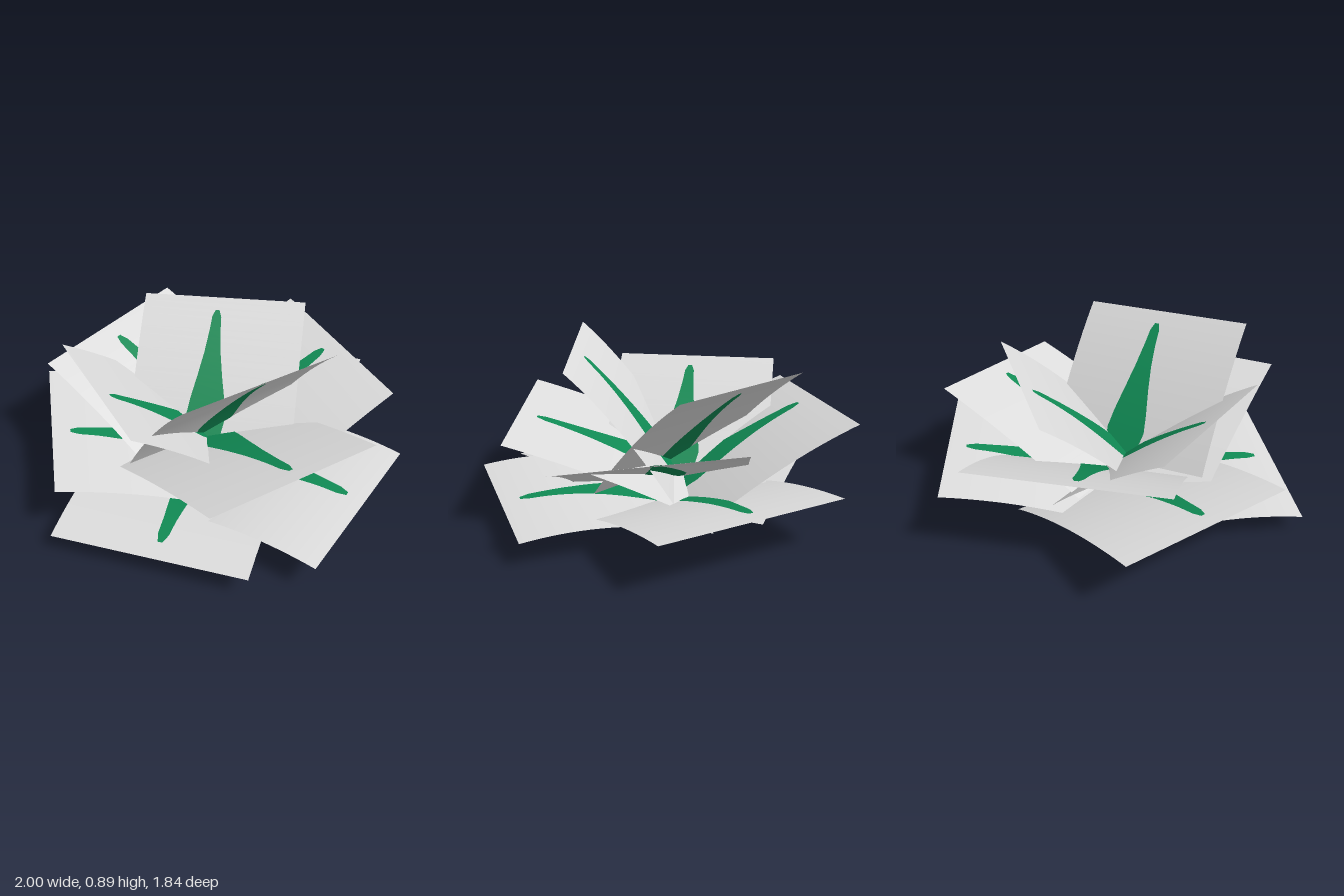
import * as THREE from 'three';

const ROWS = 20;

// Each square card: outer corners, horizontal reach, heights of the inner corners, upward arch
const CARDS = [
  { L: [-0.40, 0.27, -0.92], R: [0.60, 0.27, -0.92], reach: 0.96, base: [0.02, 0.02], arch: 0.04 },
  { L: [0.57, 0.12, 0.81], R: [-0.43, 0.095, 0.92], reach: 0.97, base: [0.04, 0.03], arch: 0.06 },
  { L: [1.00, 0.13, -0.34], R: [0.84, 0.155, 0.65], reach: 0.96, base: [0.02, 0.04], arch: 0.06 },
  { L: [-0.45, 0.287, 0.81], R: [-1.00, 0.31, -0.02], reach: 0.95, base: [0.0, 0.03], arch: 0.04 },
  { L: [0.14, 0.58, -0.92], R: [0.90, 0.46, -0.41], reach: 0.84, base: [0.18, 0.08], arch: 0.02 },
  { L: [0.93, 0.47, 0.05], R: [0.41, 0.53, 0.89], reach: 0.92, base: [0.12, 0.18], arch: 0.02 },
  { L: [-0.84, 0.55, 0.20], R: [-0.60, 0.56, -0.77], reach: 0.86, base: [0.06, 0.07], arch: 0.04 },
  { L: [-0.06, 0.67, 0.71], R: [-0.76, 0.67, 0.16], reach: 0.66, base: [0.12, 0.16], arch: 0.03 },
  { L: [-0.54, 0.74, -0.39], R: [0.32, 0.76, -0.62], reach: 0.62, base: [0.15, 0.15], arch: 0.04 },
  { L: [0.66, 0.83, -0.11], R: [0.20, 0.89, 0.68], reach: 0.54, base: [0.13, 0.19], arch: 0.05 },
];

// Half width of the painted leaf along the card, as (distance, half width)
const LEAF = [[0.05, 0.05], [0.1, 0.1], [0.2, 0.12], [0.3, 0.105], [0.45, 0.075],
  [0.6, 0.05], [0.75, 0.034], [0.85, 0.028], [0.9, 0.012]];

function leafHalfWidth(s) {
  for (let i = 1; i < LEAF.length; i++) {
    const [s0, w0] = LEAF[i - 1], [s1, w1] = LEAF[i];
    if (s <= s1 + 1e-6) return w0 + (w1 - w0) * (s - s0) / (s1 - s0);
  }
  return 0;
}

// Returns point(s, t): s from inner to outer edge, t from -0.5 to 0.5 across
function cardSurface({ L, R, reach, base, arch }) {
  const tipL = new THREE.Vector3(...L), tipR = new THREE.Vector3(...R);
  const across = tipR.clone().sub(tipL).setY(0).normalize();
  const inner = (tip, y) =>
    new THREE.Vector3(tip.x - across.z * reach, y, tip.z + across.x * reach);
  const baseL = inner(tipL, base[0]), baseR = inner(tipR, base[1]);
  return (s, t) => {
    const a = baseL.clone().lerp(tipL, s), b = baseR.clone().lerp(tipR, s);
    const p = a.lerp(b, t + 0.5);
    p.y += 4 * arch * s * (1 - s);
    return p;
  };
}

// Strip between two side lines of a surface, lifted along its normal
function strip(point, from, to, centre, half, lift) {
  const pos = [], idx = [];
  for (let i = from; i <= to; i++) {
    const s = i / ROWS;
    const du = point(s + 0.02, 0).sub(point(s - 0.02, 0));
    const dr = point(s, 0.5).sub(point(s, -0.5));
    const normal = dr.cross(du).normalize().multiplyScalar(lift);
    for (const side of [-1, 1]) {
      pos.push(...point(s, centre + side * half(s)).add(normal).toArray());
    }
    if (i < to) {
      const k = (i - from) * 2;
      idx.push(k, k + 1, k + 2, k + 1, k + 3, k + 2);
    }
  }
  const geo = new THREE.BufferGeometry();
  geo.setAttribute('position', new THREE.Float32BufferAttribute(pos, 3));
  geo.setIndex(idx);
  geo.computeVertexNormals();
  return geo;
}

export function createModel() {
  const cardMat = new THREE.MeshStandardMaterial({ color: 0xdcdcdc, side: THREE.DoubleSide });
  cardMat.name = 'pale grey card';
  const leafMat = new THREE.MeshStandardMaterial({ color: 0x108a54, side: THREE.DoubleSide });
  leafMat.name = 'leaf green';

  const plant = new THREE.Group();
  plant.name = 'plant';
  const add = (parent, name, geo, mat) => {
    const mesh = new THREE.Mesh(geo, mat);
    mesh.name = name;
    parent.add(mesh);
  };

  CARDS.forEach((spec, i) => {
    const group = new THREE.Group();
    group.name = `leafCard${i + 1}`;
    const point = cardSurface(spec);
    add(group, 'card', strip(point, 0, ROWS, 0, () => 0.5, 0), cardMat);
    // Leaf painted on both faces
    add(group, 'leafUpper', strip(point, 1, 18, -0.035, leafHalfWidth, 0.003), leafMat);
    add(group, 'leafLower', strip(point, 1, 18, -0.035, leafHalfWidth, -0.003), leafMat);
    plant.add(group);
  });
  return plant;
}
